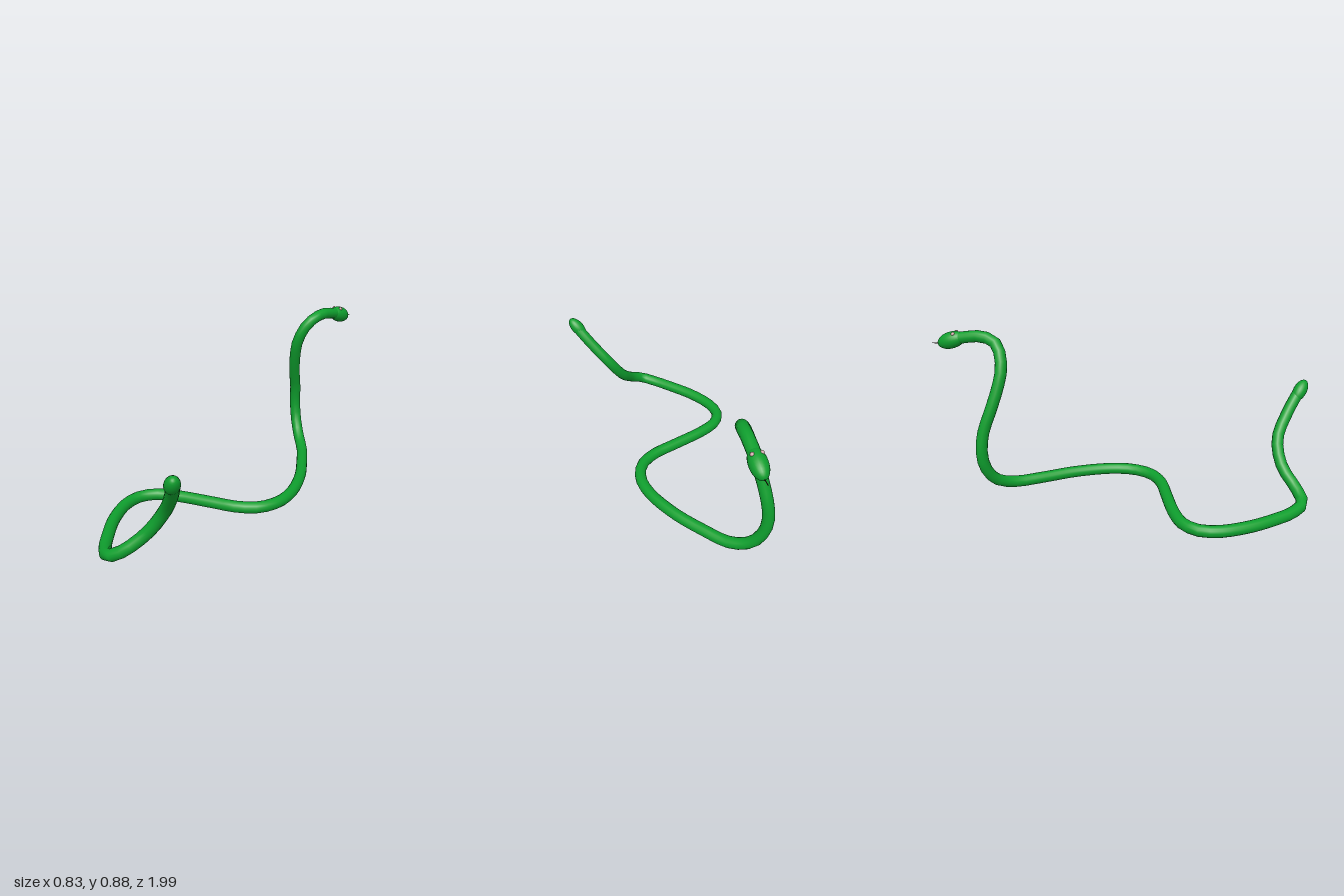
import * as THREE from 'three';

const green = new THREE.MeshStandardMaterial({ color: 0x0f9f2e });
const pink = new THREE.MeshStandardMaterial({ color: 0xc9a3a3 });
const dark = new THREE.MeshStandardMaterial({ color: 0x3a1414 });

const v = (x, y, z) => new THREE.Vector3(x, y, z);

// Centre line from tail tip, along the ground, up the neck to the head
const path = [
  [0.37, 0.525, 0.91], [0.3, 0.43, 0.86], [0.2, 0.3, 0.815], [0.12, 0.18, 0.85],
  [0.04, 0.09, 0.935], [-0.03, 0.053, 0.965], [-0.11, 0.036, 0.92], [-0.2, 0.032, 0.83],
  [-0.3, 0.032, 0.71], [-0.375, 0.032, 0.57], [-0.385, 0.032, 0.47], [-0.34, 0.032, 0.39],
  [-0.24, 0.032, 0.33], [-0.04, 0.032, 0.255], [0.08, 0.032, 0.21], [0.17, 0.032, 0.14],
  [0.21, 0.032, 0.03], [0.195, 0.032, -0.1], [0.11, 0.032, -0.29], [0, 0.032, -0.45],
  [-0.1, 0.042, -0.58], [-0.18, 0.09, -0.65], [-0.23, 0.18, -0.685], [-0.245, 0.28, -0.692],
  [-0.236, 0.38, -0.68], [-0.215, 0.5, -0.64], [-0.19, 0.6, -0.61], [-0.16, 0.7, -0.592],
  [-0.122, 0.79, -0.61], [-0.095, 0.835, -0.65], [-0.085, 0.853, -0.73], [-0.08, 0.835, -0.85],
].map(p => v(...p));

// Ellipsoid whose long axis (local z) points along dir
function ellipsoid(name, center, dir, rx, ry, rz, material) {
  const mesh = new THREE.Mesh(new THREE.SphereGeometry(1, 24, 16).rotateX(Math.PI / 2), material);
  mesh.name = name;
  mesh.position.copy(center);
  mesh.scale.set(rx, ry, rz);
  mesh.lookAt(center.clone().add(dir));
  return mesh;
}

export function createModel() {
  const group = new THREE.Group();
  group.name = 'snake';

  const curve = new THREE.CatmullRomCurve3(path);
  const body = new THREE.Mesh(new THREE.TubeGeometry(curve, 72, 0.031, 16), green);
  body.name = 'body';
  group.add(body);

  // Rounded tail end
  group.add(ellipsoid('tailTip', v(0.367, 0.525, 0.913), v(0.065, 0.085, 0.045), 0.036, 0.036, 0.066, green));

  // Head, dipping slightly towards the snout
  group.add(ellipsoid('head', v(-0.08, 0.822, -0.888), v(0, -0.33, -1), 0.043, 0.044, 0.079, green));

  // Eyes on top of the head
  for (const side of [-1, 1]) {
    group.add(ellipsoid(side > 0 ? 'leftEye' : 'rightEye',
      v(-0.08 + side * 0.022, 0.861, -0.868), v(0, 0, -1), 0.01, 0.01, 0.01, pink));
  }

  // Thin tongue
  const tongue = new THREE.Mesh(
    new THREE.CylinderGeometry(0.002, 0.002, 0.05, 8).rotateX(Math.PI / 2), dark);
  tongue.name = 'tongue';
  tongue.position.set(-0.08, 0.8, -0.975);
  group.add(tongue);

  return group;
}
